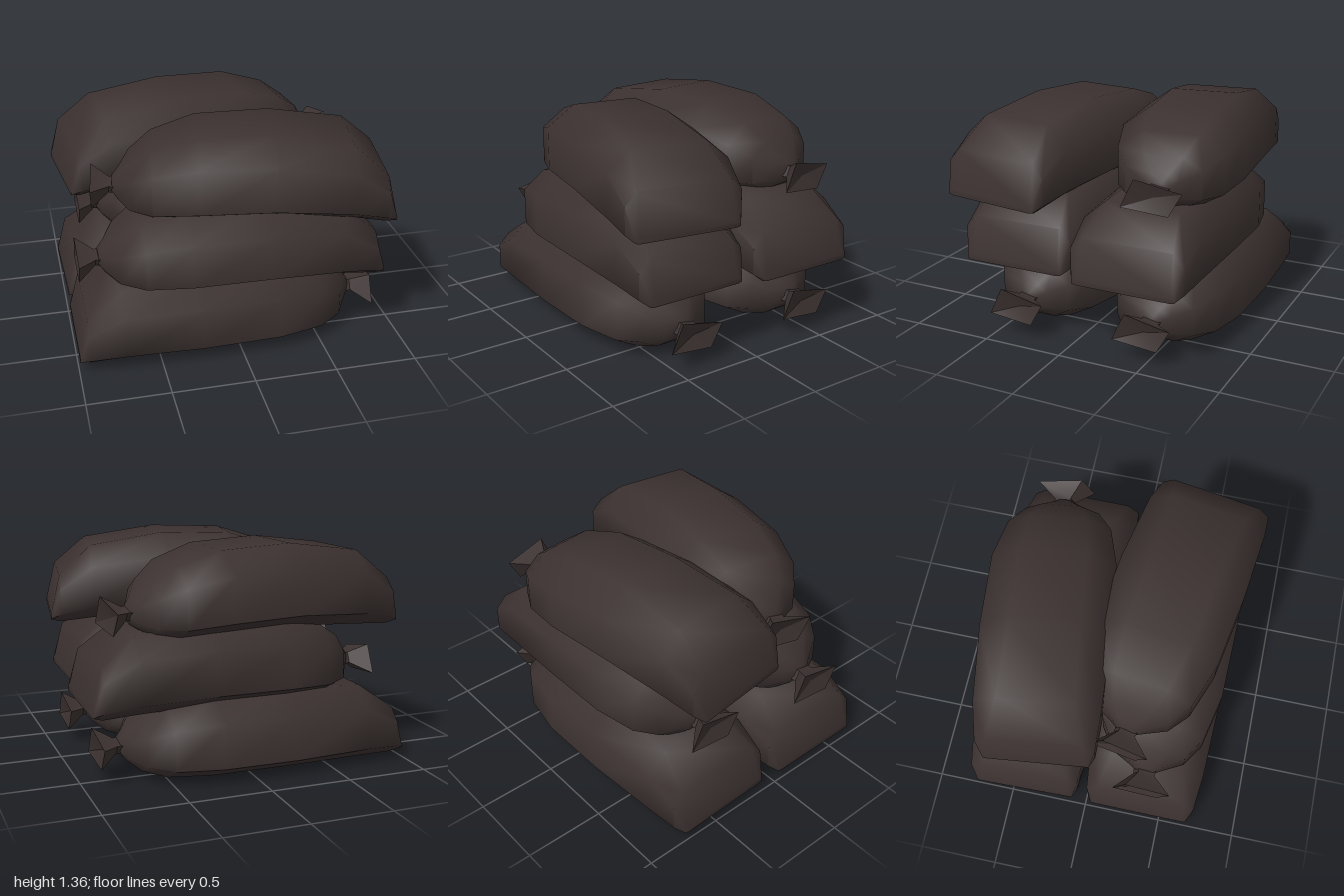
import * as THREE from 'three';
import { toCreasedNormals } from 'three/addons/utils/BufferGeometryUtils.js';

const LENGTH = 1.88;

// Skins a list of equal-sized rings running along +x; each end closes on a centre point.
function loft(rings, dent, crease) {
  const n = rings[0].length;
  const pos = rings.flat(2);
  const index = [];
  for (let i = 0; i < rings.length - 1; i++) {
    for (let k = 0; k < n; k++) {
      const a = i * n + k, b = i * n + (k + 1) % n;
      index.push(a, b, a + n, b, b + n, a + n);
    }
  }
  const centre = (ring, dx) => {
    const c = [0, 1, 2].map(j => ring.reduce((s, p) => s + p[j], 0) / n);
    pos.push(c[0] + dx, c[1], c[2]);
    return pos.length / 3 - 1;
  };
  const last = (rings.length - 1) * n;
  const c0 = centre(rings[0], 0);
  const c1 = centre(rings[rings.length - 1], -dent);
  for (let k = 0; k < n; k++) {
    const m = (k + 1) % n;
    index.push(c0, m, k, c1, last + k, last + m);
  }
  const g = new THREE.BufferGeometry();
  g.setAttribute('position', new THREE.Float32BufferAttribute(pos, 3));
  g.setIndex(index);
  return toCreasedNormals(g, crease);
}

// Body sections: distance from flat end, half width, bottom, top, flat share of width
const SECTIONS = [
  [0.00, 0.32, 0.055, 0.09, 0.92],
  [0.06, 0.355, 0.03, 0.32, 0.80],
  [0.27, 0.375, 0.01, 0.47, 0.62],
  [0.75, 0.39, 0.00, 0.50, 0.54],
  [1.22, 0.38, 0.005, 0.495, 0.54],
  [1.50, 0.32, 0.02, 0.44, 0.54],
  [1.64, 0.23, 0.06, 0.36, 0.52],
  [1.71, 0.11, 0.11, 0.28, 0.50],
  [1.75, 0.055, 0.16, 0.245, 0.50],
];

// Octagonal sack body, arched upward in the middle
function bodyGeometry(arch) {
  const rings = SECTIONS.map(([x, w, bottom, top, f]) => {
    const lift = arch * Math.sin(Math.PI * Math.min(x / 1.75, 1));
    const b = bottom + lift, h = top - bottom, t = b + h;
    const hi = b + h * 0.74, lo = b + h * 0.19;
    return [[t, f * w], [hi, w], [lo, w], [b, f * w],
      [b, -f * w], [lo, -w], [hi, -w], [t, -f * w]].map(([y, z]) => [x, y, z]);
  });
  return loft(rings, 0, 1.05);
}

// Flared, skewed cloth end beyond the tied neck
function tailGeometry() {
  const corners = [[0.09, 0.10], [-0.08, 0.18], [-0.11, -0.10], [0.03, -0.18]];
  const ring = (x, s) => corners.map(([y, z]) => [x, 0.2 + y * s, z * s]);
  return loft([ring(1.71, 0.42), ring(1.77, 0.36), ring(LENGTH, 1)], 0.04, 0.5);
}

export function createModel() {
  const model = new THREE.Group();
  model.name = 'sackPile';
  const cloth = new THREE.MeshStandardMaterial({ color: 0x3b3130 });
  cloth.name = 'darkCloth';

  // Lays one sack from its flat end to its tied end
  function addSack(name, [x0, z0], [x1, z1], y, arch) {
    const sack = new THREE.Group();
    sack.name = name;
    const body = new THREE.Mesh(bodyGeometry(arch), cloth);
    body.name = 'sackBody';
    const tail = new THREE.Mesh(tailGeometry(), cloth);
    tail.name = 'tiedEnd';
    sack.add(body, tail);
    sack.position.set(x0, y, z0);
    sack.rotation.y = Math.atan2(z0 - z1, x1 - x0);
    sack.scale.x = Math.hypot(x1 - x0, z1 - z0) / LENGTH;
    model.add(sack);
  }

  addSack('bottomFrontSack', [-0.99, 0.355], [0.89, 0.355], 0, 0);
  addSack('bottomBackSack', [-0.99, -0.42], [0.89, -0.47], 0, 0);
  addSack('middleFrontSack', [0.89, 0.36], [-0.95, 0.355], 0.39, 0.04);
  addSack('middleBackSack', [0.96, -0.39], [-0.87, -0.40], 0.39, 0.04);
  addSack('topFrontSack', [0.95, 0.465], [-0.82, 0.185], 0.79, 0.075);
  addSack('topBackSack', [-0.965, -0.29], [0.82, -0.50], 0.79, 0.07);
  return model;
}
